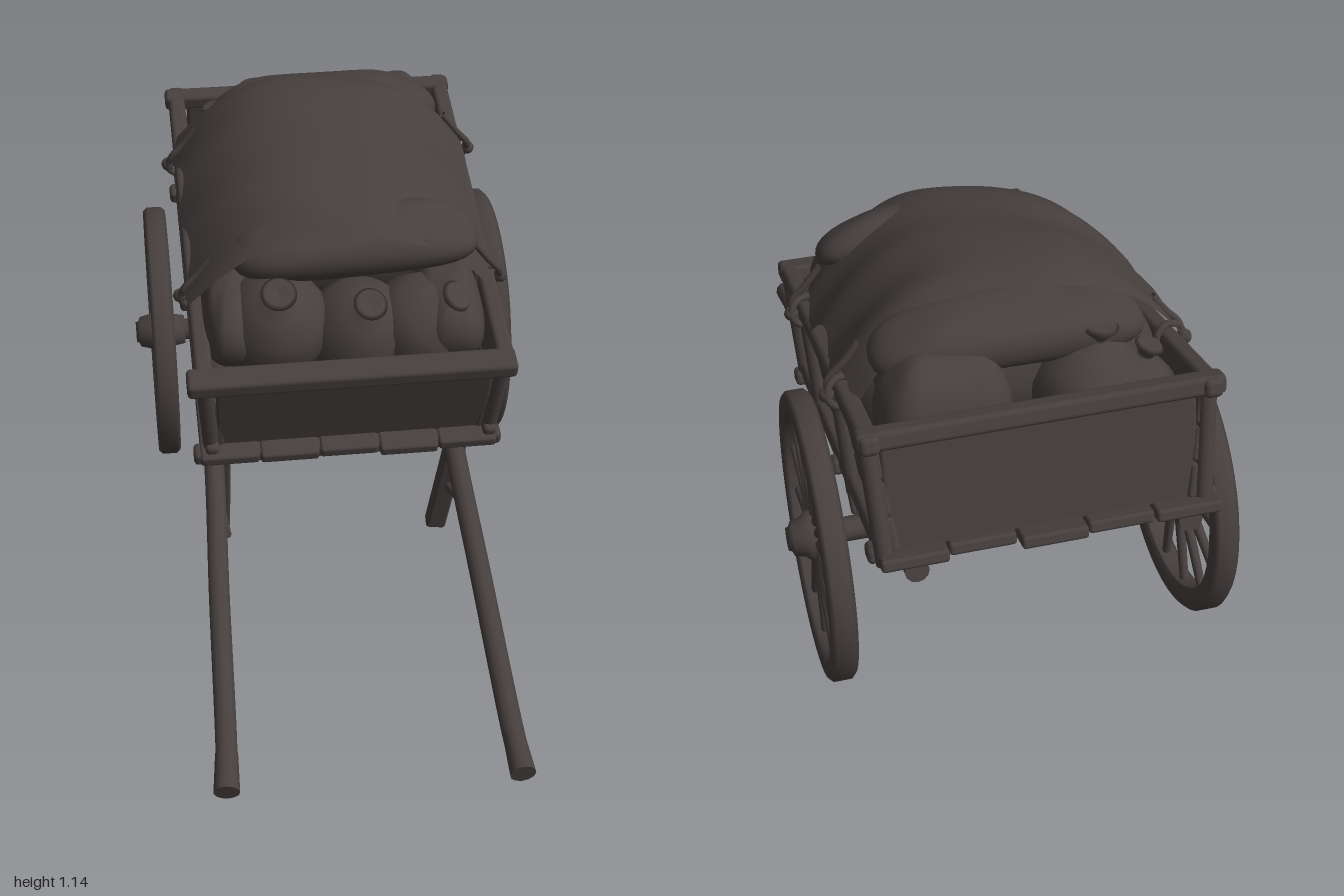
import * as THREE from 'three';
import { RoundedBoxGeometry } from 'three/addons/geometries/RoundedBoxGeometry.js';

const V = (x, y, z) => new THREE.Vector3(x, y, z);

export function createModel() {
  const mat = new THREE.MeshStandardMaterial({ color: 0x463f3e, side: THREE.DoubleSide });
  mat.name = 'dark weathered brown';

  // cart frame: origin at the axle centre, turned, then tipped onto its shafts
  const cart = new THREE.Group();
  cart.name = 'cart';
  cart.rotation.order = 'YXZ';
  cart.rotation.set(0.27, 0.485, 0);
  cart.position.set(-0.2, 0.405, -0.445);

  const add = (name, geo, parent = cart) => {
    const m = new THREE.Mesh(geo, mat);
    m.name = name;
    parent.add(m);
    return m;
  };
  const box = (name, w, h, d, x, y, z, r = 0.008) => {
    const m = add(name, new RoundedBoxGeometry(w, h, d, 2, r));
    m.position.set(x, y, z);
    return m;
  };
  // squared timber between two points
  const beam = (name, a, b, w, h, r = 0.01) => {
    const m = box(name, w, h, a.distanceTo(b), 0, 0, 0, r);
    m.position.copy(a).lerp(b, 0.5);
    m.quaternion.setFromUnitVectors(V(0, 0, 1), b.clone().sub(a).normalize());
    return m;
  };
  const rod = (name, a, b, r0, r1 = r0, parent = cart) => {
    const m = add(name, new THREE.CylinderGeometry(r1, r0, a.distanceTo(b), 12), parent);
    m.position.copy(a).lerp(b, 0.5);
    m.quaternion.setFromUnitVectors(V(0, 1, 0), b.clone().sub(a).normalize());
    return m;
  };
  const tube = (name, pts, r, n = 32) =>
    add(name, new THREE.TubeGeometry(new THREE.CatmullRomCurve3(pts), n, r, 10));

  // floor planks with narrow gaps and uneven ends
  [0.005, 0, 0.01, -0.01, 0.005].forEach((e, i) =>
    box('floorPlank', 0.15, 0.03, 1.115 + e, (i - 2) * 0.154 + 0.005, 0.165, 0.07 - e));
  [-0.4, 0.04, 0.585].forEach(z => box('crossBeam', 0.8, 0.04, 0.05, 0.005, 0.155, z, 0.012));

  // front and back boards with their rails
  beam('frontBoard', V(0.015, 0.17, 0.565), V(0.015, 0.44, 0.585), 0.7, 0.02);
  beam('backBoard', V(0.015, 0.17, -0.44), V(0.015, 0.44, -0.455), 0.7, 0.02);
  box('frontTopRail', 0.82, 0.045, 0.07, 0.003, 0.447, 0.6, 0.012);
  box('backTopRail', 0.81, 0.045, 0.05, 0.01, 0.455, -0.465, 0.012);

  for (const s of [-1, 1]) {
    const side = new THREE.Group();
    side.name = s > 0 ? 'leftSide' : 'rightSide';
    side.position.x = s < 0 ? 0.025 : 0;
    cart.add(side);
    // side slats, slightly flared outward
    for (let i = 0; i < 3; i++) {
      const slat = box('sideSlat', 0.024, 0.088, 1.04, s * (0.353 + i * 0.01), 0.218 + i * 0.09, 0.06, 0.01);
      slat.rotation.z = -s * 0.12;
      side.add(slat);
    }
    side.add(
      beam('sideTopRail', V(s * 0.388, 0.452, -0.5), V(s * 0.388, 0.447, 0.62), 0.045, 0.045, 0.014),
      beam('sideBottomRail', V(s * 0.372, 0.185, -0.46), V(s * 0.372, 0.185, 0.61), 0.035, 0.035, 0.012));
    for (const z of [-0.45, -0.1, 0.31, 0.575])
      rod('sidePost', V(s * 0.372, 0.15, z), V(s * 0.39, 0.46, z), 0.021, 0.021, side);

    // rope ties on the top rail
    for (const z of [-0.2, 0.3]) {
      const ring = add('ropeRing', new THREE.TorusGeometry(0.036, 0.009, 8, 20), side);
      ring.position.set(s * 0.393, 0.452, z);
      ring.rotation.y = 0.25;
      side.add(tube('ropeTail', [V(s * 0.425, 0.44, z), V(s * 0.42, 0.48, z + 0.01), V(s * 0.385, 0.52, z),
        V(s * 0.35, 0.565, z - 0.01)], 0.009, 16));
      const knot = add('ropeKnot', new THREE.SphereGeometry(0.018, 10, 8), side);
      knot.position.set(s * 0.428, 0.45, z);
    }
  }

  // long pulling shafts, running back under the floor
  const shafts = [
    [V(-0.33, 0.1, -0.4), V(-0.335, 0.1, 0.3), V(-0.345, 0.085, 0.65), V(-0.36, 0.058, 0.95),
      V(-0.377, 0.012, 1.37), V(-0.384, 0.008, 1.46)],
    [V(0.3, 0.1, -0.4), V(0.295, 0.1, 0.3), V(0.292, 0.085, 0.65), V(0.294, 0.07, 0.95),
      V(0.298, 0.036, 1.4), V(0.3, 0.04, 1.5)],
  ];
  for (const pts of shafts) {
    tube('shaft', pts, 0.027);
    const [a, b] = pts.slice(-2);
    const dir = b.clone().sub(a).normalize();
    rod('shaftGrip', b.clone().addScaledVector(dir, -0.09), b.clone().addScaledVector(dir, 0.01), 0.027, 0.031);
    rod('shaftBackEnd', pts[0], pts[0].clone().add(V(0, 0, -0.02)), 0.028);
  }

  // prop legs with braces
  for (const [x0, x1, y] of [[-0.325, -0.33, -0.185], [0.305, 0.27, -0.26]]) {
    beam('propLeg', V(x0, 0.14, 0.55), V(x1, y, 0.555), 0.055, 0.045);
    rod('frontBrace', V((x0 + x1) / 2, -0.08, 0.56), V(x0, 0.065, 0.78), 0.01);
    rod('backBrace', V((x0 + x1) / 2, -0.06, 0.54), V(x0, 0.13, 0.32), 0.009);
  }

  // axle and its blocks
  rod('axle', V(-0.45, 0, 0), V(0.46, 0, 0), 0.03);
  for (const x of [-0.33, 0.3]) box('axleBlock', 0.06, 0.15, 0.09, x, 0.065, 0, 0.012);

  // spoked wheels: rim and hub are lathed, axis along x
  const P = (a) => a.map(([x, y]) => new THREE.Vector2(x, y));
  const rim = new THREE.LatheGeometry(P([[0.293, -0.02], [0.303, -0.03], [0.34, -0.03], [0.35, -0.02],
    [0.35, 0.02], [0.34, 0.03], [0.303, 0.03], [0.293, 0.02], [0.293, -0.02]]), 48);
  const hub = new THREE.LatheGeometry(P([[0, -0.065], [0.04, -0.065], [0.045, -0.035], [0.06, -0.025],
    [0.062, 0.02], [0.048, 0.035], [0.042, 0.06], [0.03, 0.065], [0.028, 0.072], [0, 0.072]]), 24);
  for (const s of [-1, 1]) {
    const wheel = new THREE.Group();
    wheel.name = s > 0 ? 'leftWheel' : 'rightWheel';
    wheel.position.x = s > 0 ? 0.46 : -0.448;
    wheel.rotation.z = -s * Math.PI / 2;
    add('rim', rim, wheel);
    add('hub', hub, wheel);
    for (let i = 0; i < 14; i++) {
      const a = (i + 0.3) * Math.PI / 7, c = Math.cos(a), d = Math.sin(a);
      rod('spoke', V(c * 0.05, 0, d * 0.05), V(c * 0.3, 0, d * 0.3), 0.014, 0.011, wheel);
    }
    cart.add(wheel);
  }

  // lying sack: a sphere squared off into a cushion with thin, sagging corners
  const cushion = (name, x, y, z, hx, hy, hz, ry = 0, rx = 0) => {
    const g = new THREE.SphereGeometry(1, 32, 20), p = g.attributes.position;
    const sq = (t, e) => Math.sign(t) * Math.abs(t) ** e;
    for (let i = 0; i < p.count; i++) {
      const a = p.getX(i), b = p.getY(i), c = p.getZ(i);
      const sag = 0.03 * a * a;
      p.setXYZ(i, sq(a, 0.65) * hx, sq(b, 0.95) * hy * (1 + 0.05 * Math.sin(a * 7 + c * 3)) - sag, sq(c, 0.7) * hz);
    }
    g.computeVertexNormals();
    const m = add(name, g);
    m.position.set(x, y, z);
    m.rotation.set(rx, ry, 0);
  };
  cushion('loadSack', 0, 0.49, 0.17, 0.32, 0.15, 0.14);
  cushion('loadSack', 0, 0.49, -0.02, 0.32, 0.15, 0.14);
  cushion('loadSack', 0, 0.49, -0.2, 0.32, 0.15, 0.12);
  cushion('lowerSack', 0, 0.3, 0.06, 0.33, 0.11, 0.46);
  cushion('frontTopSack', 0.04, 0.62, 0.305, 0.315, 0.068, 0.1, 0.04, 0.22);
  cushion('backTopSack', 0.03, 0.58, -0.28, 0.31, 0.07, 0.1, 0, -0.35);
  cushion('sideSack', 0.27, 0.46, 0.4, 0.09, 0.1, 0.15);
  cushion('sideSack', -0.285, 0.46, 0.36, 0.07, 0.1, 0.17);
  cushion('backSack', 0.2, 0.47, -0.34, 0.15, 0.11, 0.1, 0.2);

  // upright sacks with tied, frilled necks
  const sackGeo = new THREE.LatheGeometry(P([[0, -0.14], [0.09, -0.13], [0.135, -0.06], [0.14, 0.01],
    [0.115, 0.075], [0.06, 0.115], [0.025, 0.13], [0.024, 0.14], [0.045, 0.165], [0.035, 0.175], [0, 0.165]]), 24);
  for (const [x, y, z, s, rx, rz] of [
    [-0.17, 0.46, 0.42, 1, 0.35, 0], [0.04, 0.43, 0.43, 0.95, 0.4, -0.1], [0.2, 0.43, 0.43, 0.95, 0.3, -0.5],
    [-0.14, 0.43, -0.31, 0.95, -0.3, 0.1], [-0.23, 0.4, -0.32, 0.75, -0.3, 0.3],
  ]) {
    const m = add('tiedSack', sackGeo);
    m.position.set(x, y, z);
    m.rotation.set(rx, 0, rz);
    m.scale.setScalar(s);
  }

  // cover sheet draped over the load, t running from the back (-1) to the front (1)
  const sheet = new THREE.PlaneGeometry(1, 1, 40, 32), p = sheet.attributes.position;
  for (let i = 0; i < p.count; i++) {
    const s = p.getX(i) * 2, t = -p.getY(i) * 2, e = Math.abs(s);
    const x = 0.008 + s * (0.388 + 0.012 * Math.sin(t * 8 - s));
    const z = 0.045 + t * 0.325 + 0.015 * Math.sin(s * 5) * Math.abs(t);
    const y = 0.712 - 0.14 * (Math.abs(x) / 0.33) ** 2.6 - (t < 0 ? 0.045 : 0.02) * Math.abs(t) ** 5
      - 0.014 * e * e * Math.sin(t * 9 - s * 2) - 0.005 * Math.sin(t * 6 - s * 4);
    p.setXYZ(i, x, y, z);
  }
  // rows now run back to front, so corners are reversed to keep the top side outward
  sheet.computeVertexNormals();
  add('coverSheet', sheet);

  const model = new THREE.Group();
  model.name = 'handcart';
  model.add(cart);
  return model;
}
